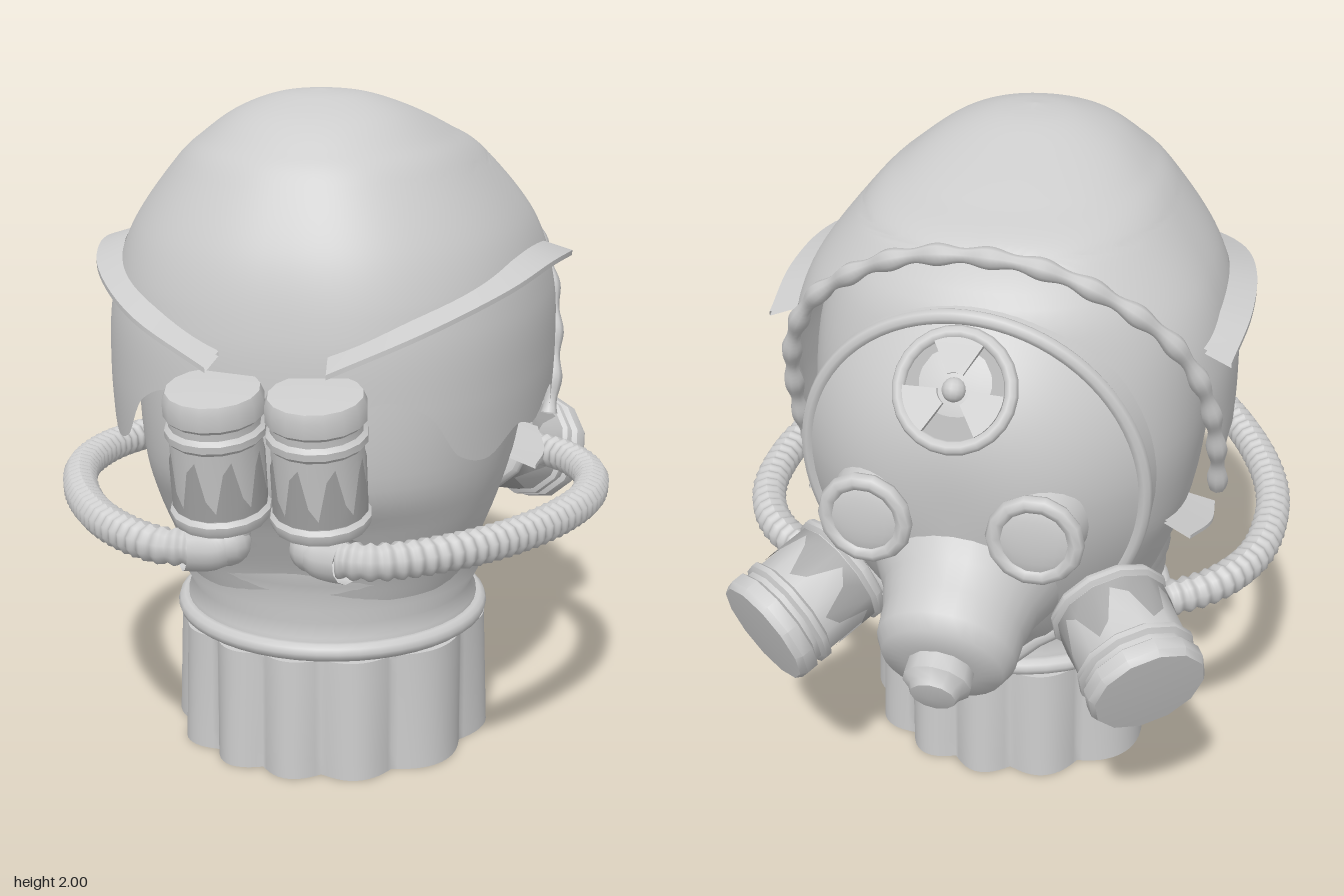
import * as THREE from 'three';
import { mergeVertices, toCreasedNormals } from 'three/addons/utils/BufferGeometryUtils.js';

const V = (x, y, z) => new THREE.Vector3(x, y, z);
const side = THREE.DoubleSide;
const grey = new THREE.MeshStandardMaterial({ color: 0xcccccc, side });
grey.name = 'lightGrey';
const darkGrey = new THREE.MeshStandardMaterial({ color: 0xa8a8a8, side });
darkGrey.name = 'darkGrey';

// Smooth surface from a rule f(u, v) -> Vector3
function grid(f, nu, nv) {
  const pos = [], idx = [];
  for (let j = 0; j <= nv; j++) for (let i = 0; i <= nu; i++) pos.push(...f(i / nu, j / nv).toArray());
  for (let j = 0; j < nv; j++) for (let i = 0; i < nu; i++) {
    const a = j * (nu + 1) + i, b = a + nu + 1;
    idx.push(a, b, a + 1, b, b + 1, a + 1);
  }
  let g = new THREE.BufferGeometry();
  g.setAttribute('position', new THREE.Float32BufferAttribute(pos, 3));
  g.setIndex(idx);
  g = mergeVertices(g, 1e-5);
  g.computeVertexNormals();
  return g;
}

// Shape made of horizontal rounded sections; rows: y, half width, front z, back z, widest z
function sections(rows) {
  const c1 = new THREE.CatmullRomCurve3(rows.map(r => V(r[0], r[1], 0)), false, 'catmullrom');
  const c2 = new THREE.CatmullRomCurve3(rows.map(r => V(r[2], r[3], r[4])), false, 'catmullrom');
  const at = (t, a) => {
    const e = 2 / (2 + 0.4 * Math.min(1, t * 1.6));
    const pw = c => Math.sign(c) * Math.abs(c) ** e;
    const p = c1.getPoint(t), q = c2.getPoint(t), c = pw(Math.cos(a));
    return V(p.y * pw(Math.sin(a)), p.x, q.z + c * (c > 0 ? q.x - q.z : q.z - q.y));
  };
  const tOf = y => {
    let lo = 0, hi = 1;
    for (let i = 0; i < 30; i++) { const m = (lo + hi) / 2; if (c1.getPoint(m).x > y) lo = m; else hi = m; }
    return lo;
  };
  return { at, tOf };
}

// Flared strip lying along the outer edge points
function strip(points, width, thick) {
  const c = new THREE.CatmullRomCurve3(points);
  const corners = [[0, 0], [0, 1], [1, 1], [1, 0], [0, 0]];
  return toCreasedNormals(grid((u, v) => {
    const p = c.getPoint(u), [i, j] = corners[Math.round(v * 4)];
    const inward = V(p.x, 0, p.z + 0.1).normalize().multiplyScalar(-width * i);
    return p.add(inward).add(V(0, width * 0.3 * i - thick * j, 0));
  }, 30, 4), 0.7);
}

function lathe(pts, n = 32, crease = 0.6) {
  return toCreasedNormals(new THREE.LatheGeometry(pts.map(p => new THREE.Vector2(...p)), n), crease);
}

// Tube whose radius swells and shrinks along its length
function ripple(curve, segs, radius, sides, amount, waves) {
  const g = new THREE.TubeGeometry(curve, segs, radius, sides), p = g.attributes.position, q = V(0, 0, 0);
  for (let i = 0; i < p.count; i++) {
    const t = Math.floor(i / (sides + 1)) / segs, c = curve.getPointAt(t);
    q.fromBufferAttribute(p, i).sub(c).multiplyScalar(1 + amount * Math.sin(t * waves * Math.PI * 2)).add(c);
    p.setXYZ(i, q.x, q.y, q.z);
  }
  g.computeVertexNormals();
  return g;
}

export function createModel() {
  const root = new THREE.Group();
  const add = (name, geo, mat = grey, parent = root) => {
    const m = new THREE.Mesh(geo, mat);
    m.name = name;
    parent.add(m);
    return m;
  };
  const facing = (name, p, n) => {
    const g = new THREE.Group();
    g.name = name;
    g.position.copy(p);
    g.lookAt(p.clone().add(n));
    root.add(g);
    return g;
  };

  // Head under the hood
  const head = sections([
    [1.9, 0, 0.2, 0.2, 0.2], [1.85, 0.25, 0.42, -0.2, 0.12], [1.7, 0.45, 0.6, -0.49, 0], [1.5, 0.55, 0.69, -0.57, -0.05],
    [1.2, 0.58, 0.72, -0.6, -0.05], [0.95, 0.555, 0.7, -0.56, 0], [0.8, 0.52, 0.62, -0.5, 0.05],
    [0.65, 0.465, 0.54, -0.41, 0.07], [0.55, 0.43, 0.5, -0.36, 0.07]]);
  add('head', grid((u, v) => head.at(v, u * Math.PI * 2), 64, 40));

  // Hood: wavy lower edge, open at the back along a slanted cut
  const hood = sections([
    [2, 0, 0.2, 0.2, 0.2], [1.985, 0.13, 0.31, 0.07, 0.19], [1.94, 0.25, 0.45, -0.08, 0.17], [1.87, 0.355, 0.55, -0.28, 0.11],
    [1.79, 0.445, 0.625, -0.46, 0.05], [1.6, 0.585, 0.73, -0.56, -0.03], [1.4, 0.645, 0.78, -0.6, -0.05],
    [1.2, 0.655, 0.79, -0.6, -0.05], [1, 0.645, 0.78, -0.6, -0.05], [0.9, 0.64, 0.77, -0.6, -0.05]]);
  const cutAngle = t => {
    const open = a => { const p = hood.at(t, a); return p.z >= -0.14 - 0.405 * (p.y - 1); };
    if (open(Math.PI)) return Math.PI;
    let lo = 0, hi = Math.PI;
    for (let i = 0; i < 25; i++) { const m = (lo + hi) / 2; if (open(m)) lo = m; else hi = m; }
    return lo;
  };
  const hem = new THREE.CatmullRomCurve3([[0, 1.2], [0.12, 1.19], [0.25, 1.23], [0.38, 1.18], [0.5, 1.05], [0.6, 1.02],
    [0.7, 1.08], [0.8, 1.05], [0.9, 1.1], [1, 0.98]].map(p => V(p[0], p[1], 0)));
  add('hood', grid((u, v) => {
    const s = u * 2 - 1, t = v * hood.tOf(hem.getPoint(Math.abs(s)).y);
    return hood.at(t, s * cutAngle(t));
  }, 96, 90));

  // Lumpy rolled trim along the hood opening
  const trim = [];
  for (let i = -14; i <= 14; i++) {
    const k = i / 14, t = hood.tOf(1.79 - 0.81 * k * k);
    trim.push(hood.at(t, (i < 0 ? -1 : 1) * (i === 0 ? Math.PI : cutAngle(t))));
  }
  add('hoodTrim', ripple(new THREE.CatmullRomCurve3(trim), 160, 0.026, 8, 0.22, 17));

  // Neck, ring and pleated base
  add('neck', lathe([[0.5, 0.74], [0.465, 0.66], [0.472, 0.61], [0.445, 0.575], [0.46, 0.53], [0.435, 0.48], [0.45, 0.44],
    [0.45, 0.36]].reverse(), 48, 1.5)).position.z = 0.07;
  const ring = add('neckRing', new THREE.TorusGeometry(0.455, 0.028, 10, 48));
  ring.rotation.x = Math.PI / 2;
  ring.position.set(0, 0.4, 0.07);
  const pleat = a => 0.047 * Math.abs(Math.cos(6 * a + 0.9 * Math.sin(2 * a + 0.5)));
  const baseAt = (u, y, k, v) => {
    const a = u * Math.PI * 2, r = (0.444 + pleat(a) * k) * v;
    return V(Math.sin(a) * r, y, 0.07 + Math.cos(a) * r);
  };
  add('pleatedBase', grid((u, v) => baseAt(u, 0.37 * v, 1 - 0.3 * v, 1), 168, 6));
  add('baseBottom', grid((u, v) => baseAt(u, 0, 1, v), 168, 1));
  add('baseTop', grid((u, v) => baseAt(u, 0.37, 0.7, v), 168, 1));

  // Mask: domed face plate with a skirt and a beaded rim
  const rim = (a, r) => {
    const c = Math.cos(a), low = Math.max(0, -c);
    const frill = low > 0.8 ? 0.012 * Math.sin(a * 16) * r : 0;
    const x = 0.49 * Math.sin(a) * (1 - 0.4 * low * low) * r;
    const y = 1.15 + (c > 0 ? 0.51 : 0.7) * c * r + frill;
    return V(x, y, -0.49 - 0.12 * (y - 1));
  };
  add('maskFace', grid((u, v) => {
    const p = rim(u * Math.PI * 2, v);
    p.z -= 0.235 * (1 - v ** 2.7);
    return p;
  }, 72, 20));
  add('maskSkirt', grid((u, v) => {
    const p = rim(u * Math.PI * 2, 1 + 0.03 * v);
    p.z += 0.1 * v;
    return p;
  }, 72, 2));
  const rimPts = [];
  for (let i = 0; i < 48; i++) rimPts.push(rim(i / 48 * Math.PI * 2, 1));
  add('maskRim', new THREE.TubeGeometry(new THREE.CatmullRomCurve3(rimPts, true), 96, 0.022, 8, true));

  // Snout with outlet valve
  const snout = facing('snout', V(0, 0.85, -0.6), V(0, -0.42, -0.9));
  add('snoutBody', lathe([[0.27, 0], [0.225, 0.08], [0.205, 0.16], [0.2, 0.24], [0.175, 0.285], [0.1, 0.3], [0, 0.3]], 28, 1.2),
    grey, snout).rotation.x = Math.PI / 2;
  add('snoutValve', lathe([[0.095, 0.28], [0.098, 0.35], [0.075, 0.37], [0.065, 0.39], [0, 0.4]], 12), grey, snout).rotation.x = Math.PI / 2;

  // Three-bladed round badge on the forehead
  const badge = facing('badge', V(0, 1.5, -0.685), V(0, 0.52, -0.85));
  add('badgeRing', new THREE.TorusGeometry(0.155, 0.02, 8, 24), grey, badge);
  const plate = add('badgePlate', new THREE.CylinderGeometry(0.15, 0.15, 0.008, 24), darkGrey, badge);
  plate.rotation.x = Math.PI / 2;
  for (let i = 0; i < 3; i++) {
    const s = new THREE.Shape();
    const a = Math.PI / 2 + i * Math.PI * 2 / 3;
    s.absarc(0, 0, 0.14, a - 0.5, a + 0.5, false);
    s.absarc(0, 0, 0.045, a + 0.5, a - 0.5, true);
    add('badgeBlade', new THREE.ExtrudeGeometry(s, { depth: 0.022, bevelEnabled: false, curveSegments: 8 }), grey, badge);
  }
  add('badgeHub', new THREE.SphereGeometry(0.034, 12, 8), grey, badge).position.z = 0.01;

  // Banded canister along +z with ragged painted patches
  const canister = (name, base, end, r, sides) => {
    const L = base.distanceTo(end), g = facing(name, base, end.clone().sub(base));
    const pts = [[0, 0], [0.9, 0], [1, 0.02], [1.05, 0.06], [1.05, 0.1], [0.96, 0.13], [0.96, 0.64], [1.04, 0.67], [1.04, 0.72],
      [0.95, 0.75], [0.95, 0.8], [1.04, 0.83], [1.04, 0.94], [0.97, 1], [0, 1.02]];
    add('canisterBody', lathe(pts.map(p => [p[0] * r, p[1] * L]), sides), grey, g).rotation.x = Math.PI / 2;
    const n = sides * 2;
    add('canisterPatches', grid((u, v) => {
      const i = Math.round(u * n), a = u * Math.PI * 2;
      const R = r * 0.96 * (i % 2 ? Math.cos(Math.PI / sides) : 1) + 0.004;
      const z = v < 0.5 ? 0.14 : [0.3, 0.58, 0.5, 0.2][(i % n) % 4];
      return V(Math.sin(a) * R, Math.cos(a) * R, z * L);
    }, n, 1), darkGrey, g);
  };

  for (const s of [1, -1]) {
    const w = s > 0 ? 'left' : 'right';
    const P = list => list.map(p => V(p[0] * s, p[1], p[2]));
    // Goggle
    const eye = facing(w + 'Goggle', V(0.24 * s, 1.115, -0.765), V(0.04 * s, 0.02, -1));
    add('goggleRing', new THREE.TorusGeometry(0.113, 0.025, 8, 14), grey, eye);
    const cup = add('goggleCup', new THREE.CylinderGeometry(0.11, 0.13, 0.1, 24, 1, true), grey, eye);
    cup.rotation.x = Math.PI / 2;
    cup.position.z = -0.05;
    add('goggleLens', new THREE.SphereGeometry(0.11, 20, 10), grey, eye).scale.z = 0.22;
    // Side filter and front tank
    canister(w + 'Filter', V(0.39 * s, 0.78, -0.51), V(0.57 * s, 0.67, -0.765), 0.17, 12);
    canister(w + 'Tank', V(0.14 * s, 0.9, 0.805), V(0.14 * s, 1.285, 0.872), 0.132, 16);
    // Elbow under the tank and ribbed hose to the filter
    add(w + 'Elbow', new THREE.TubeGeometry(new THREE.CatmullRomCurve3(P([[0.12, 0.93, 0.81], [0.12, 0.86, 0.81],
      [0.15, 0.825, 0.84], [0.23, 0.83, 0.885]])), 16, 0.062, 12));
    add(w + 'ElbowEnd', new THREE.SphereGeometry(0.066, 14, 10)).position.set(0.12 * s, 0.835, 0.82);
    add(w + 'Hose', ripple(new THREE.CatmullRomCurve3(P([[0.2, 0.83, 0.87], [0.3, 0.83, 0.87], [0.48, 0.825, 0.74], [0.66, 0.81, 0.48],
      [0.77, 0.8, 0.2], [0.79, 0.79, 0], [0.765, 0.78, -0.18], [0.68, 0.775, -0.34], [0.56, 0.77, -0.44], [0.44, 0.77, -0.5]])),
    380, 0.05, 10, 0.09, 45));
    // Brim strip on the hood and small strip at the jaw
    add(w + 'Brim', strip(P([[0.165, 1.335, 0.86], [0.4, 1.43, 0.74], [0.59, 1.5, 0.48], [0.675, 1.53, 0.22], [0.7, 1.51, -0.04],
      [0.68, 1.465, -0.28]]), 0.085, 0.014));
    add(w + 'JawStrip', strip(P([[0.62, 0.85, 0], [0.63, 0.86, -0.13], [0.59, 0.89, -0.28]]), 0.11, 0.012));
  }
  return root;
}
